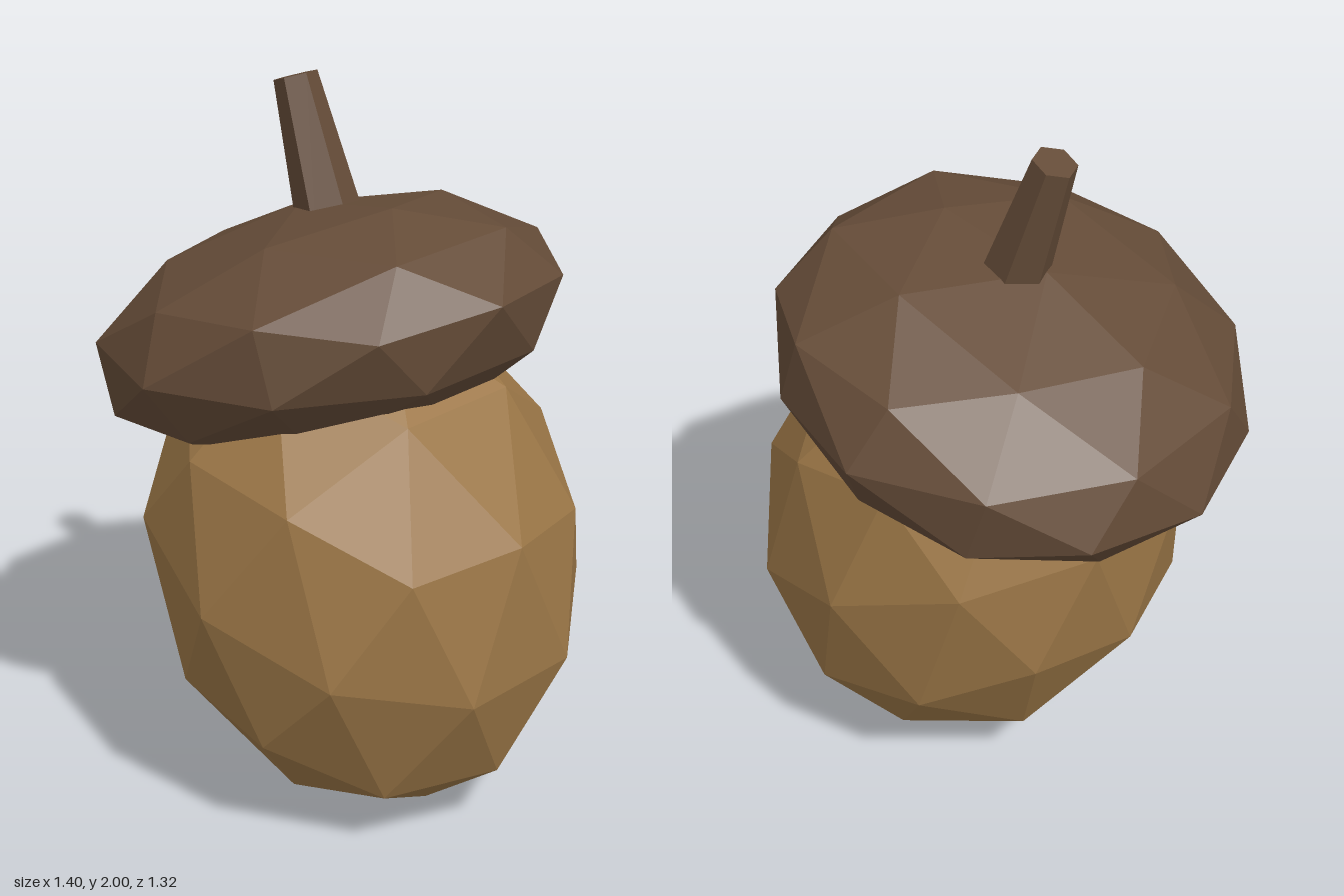
import * as THREE from 'three';

const LEAN = 0.311; // whole acorn leans towards -x

// Flat-faceted squashed sphere, turned slightly about its own axis, then leaned
function facetedEllipsoid(name, material, radius, halfHeight, position) {
  const geometry = new THREE.IcosahedronGeometry(1, 1);
  geometry.scale(radius, halfHeight, radius);
  geometry.rotateY(-0.07);
  geometry.rotateZ(LEAN);
  geometry.computeVertexNormals();
  const mesh = new THREE.Mesh(geometry, material);
  mesh.name = name;
  mesh.position.set(...position);
  return mesh;
}

export function createModel() {
  const nutBrown = new THREE.MeshStandardMaterial({ color: 0x9c7747, flatShading: true });
  nutBrown.name = 'nut brown';
  const capBrown = new THREE.MeshStandardMaterial({ color: 0x654c38, flatShading: true });
  capBrown.name = 'cap brown';

  const acorn = new THREE.Group();
  acorn.name = 'acorn';

  // Nut and cap
  acorn.add(facetedEllipsoid('nut', nutBrown, 0.604, 0.762, [0.105, 0.725, 0.05]));
  acorn.add(facetedEllipsoid('cap', capBrown, 0.662, 0.333, [-0.07, 1.325, 0]));

  // Tapered six-sided stem, its foot sunk into the cap
  const length = 0.44;
  const stemGeometry = new THREE.CylinderGeometry(0.06, 0.096, length, 6);
  stemGeometry.rotateY(0.23);
  stemGeometry.translate(0, -length / 2, 0);
  stemGeometry.rotateZ(LEAN);
  const stem = new THREE.Mesh(stemGeometry, capBrown);
  stem.name = 'stem';
  stem.position.set(-0.202, 1.983, -0.018);
  acorn.add(stem);

  return acorn;
}
